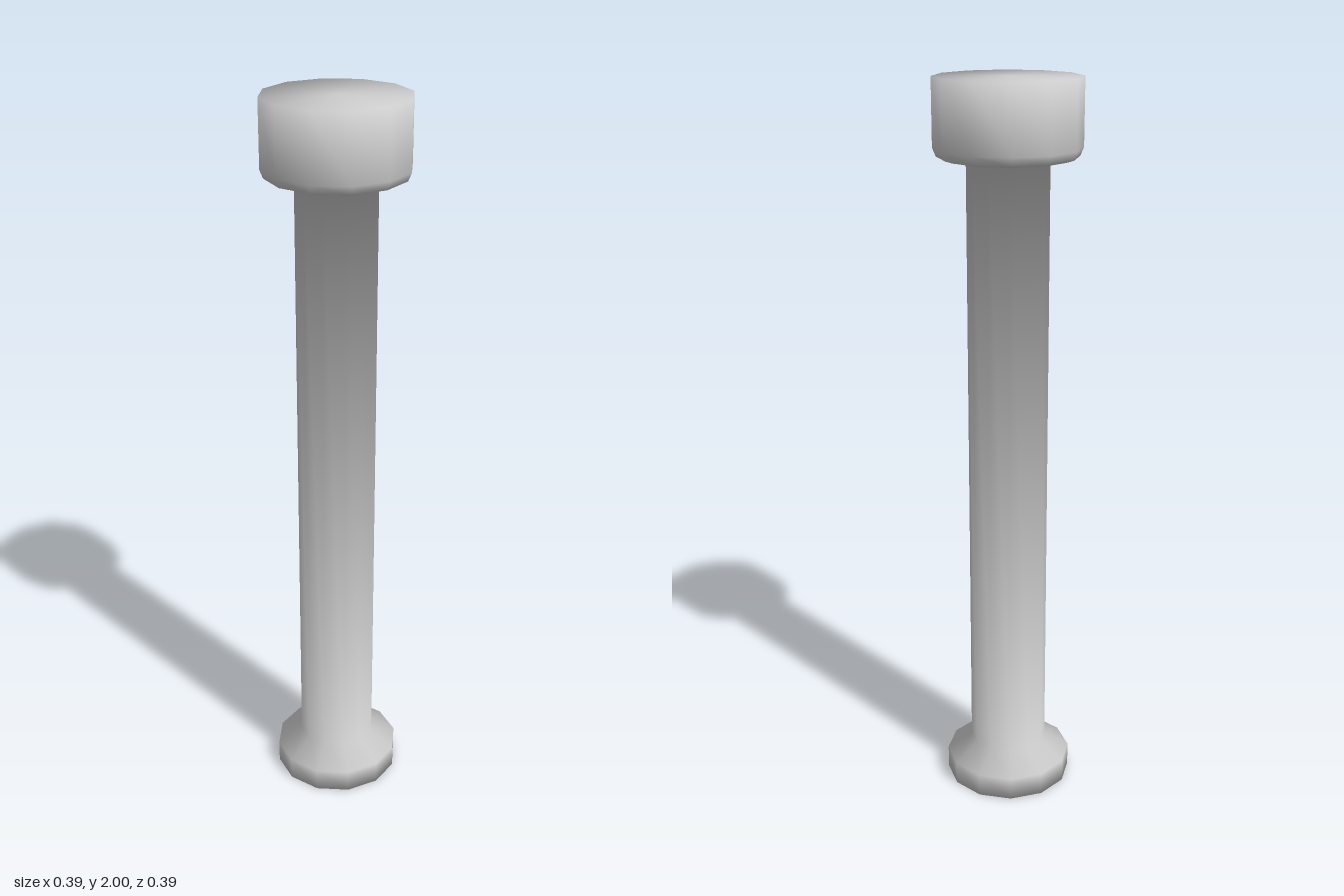
import * as THREE from 'three';

const SIDES = 12;

// Outline from the base centre up to the top centre: [radius, height]
const PROFILE = [
  [0, 0], [0.178, 0], [0.178, 0.065],          // foot
  [0.108, 0.113], [0.108, 1.797],              // shaft
  [0.165, 1.797], [0.184, 1.803], [0.193, 1.825], // rounded underside of head
  [0.193, 2], [0, 2],                          // head
].map(([r, y]) => new THREE.Vector2(r, y));

// Smooth normals: each profile corner averages its two neighbouring faces equally
function blendNormals(geometry) {
  const faceNormals = PROFILE.slice(1).map((p, i) => {
    const d = p.clone().sub(PROFILE[i]).normalize();
    return new THREE.Vector2(d.y, -d.x);
  });
  const last = faceNormals.length;
  const normal = geometry.attributes.normal;
  for (let s = 0; s <= SIDES; s++) {
    const a = (s / SIDES) * Math.PI * 2;
    PROFILE.forEach((_, j) => {
      const n = faceNormals[Math.max(j - 1, 0)].clone()
        .add(faceNormals[Math.min(j, last - 1)]).normalize();
      normal.setXYZ(s * PROFILE.length + j, n.x * Math.sin(a), n.y, n.x * Math.cos(a));
    });
  }
}

export function createModel() {
  const group = new THREE.Group();
  group.name = 'post';

  // Foot, shaft and head are one continuous turned surface
  const geometry = new THREE.LatheGeometry(PROFILE, SIDES);
  blendNormals(geometry);
  const post = new THREE.Mesh(geometry, new THREE.MeshStandardMaterial({ color: 0xcccccc }));
  post.name = 'turnedPost';
  group.add(post);

  return group;
}
